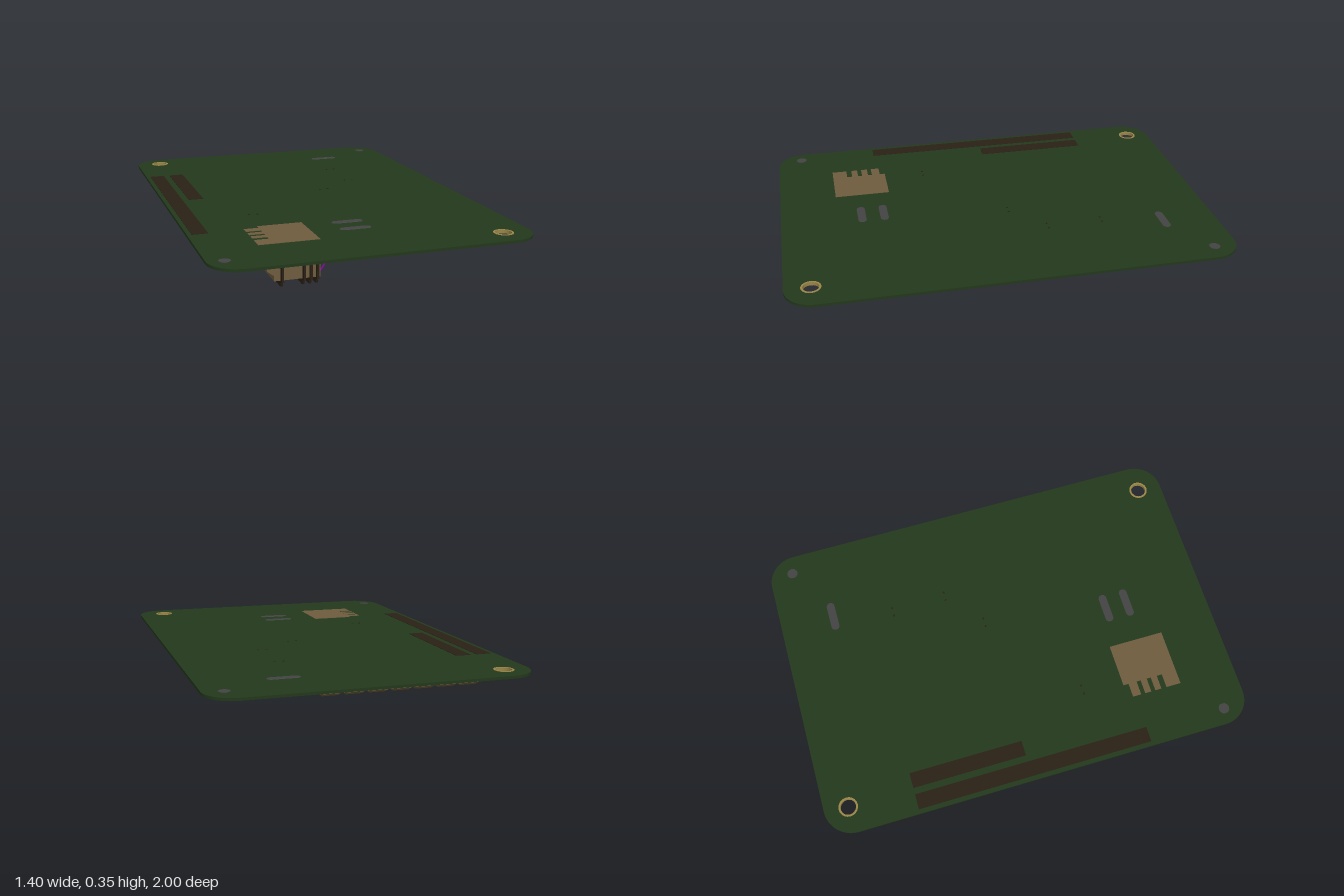
import * as THREE from 'three';

const mat = (color) => new THREE.MeshStandardMaterial({ color, flatShading: true });

export function createModel() {
  const model = new THREE.Group();
  const green = mat(0x22391b), tan = mat(0x6e5c3e), dark = mat(0x2a2115), grey = mat(0x444444);
  const teal = mat(0x2f8f93), gold = mat(0x9a8648), purple = new THREE.MeshStandardMaterial({ color: 0x6a1080 });
  const BOTTOM = 0.334, TOP = 0.346, FLUSH = 0.3475;

  const add = (name, geo, material, parent = model) => {
    const mesh = new THREE.Mesh(geo, material);
    mesh.name = name;
    parent.add(mesh);
    return mesh;
  };
  const group = (name) => {
    const g = new THREE.Group();
    g.name = name;
    model.add(g);
    return g;
  };
  // Box given by its limits on each axis
  const box = (name, [x0, x1], [y0, y1], [z0, z1], material, parent) => {
    const m = add(name, new THREE.BoxGeometry(x1 - x0, y1 - y0, z1 - z0), material, parent);
    m.position.set((x0 + x1) / 2, (y0 + y1) / 2, (z0 + z1) / 2);
    return m;
  };
  // Box whose lower rim is chamfered inwards
  const chamferedBlock = (name, x, z, w, d, y0, y1, c, material, parent) => {
    const geo = new THREE.BoxGeometry(w, y1 - y0, d, 1, 2, 1);
    const p = geo.attributes.position, h = (y1 - y0) / 2;
    for (let i = 0; i < p.count; i++) {
      const y = p.getY(i);
      if (y < -h * 0.5) {
        p.setX(i, p.getX(i) - Math.sign(p.getX(i)) * c);
        p.setZ(i, p.getZ(i) - Math.sign(p.getZ(i)) * c);
      } else if (y < h * 0.5) p.setY(i, -h + c);
    }
    add(name, geo, material, parent).position.set(x, (y0 + y1) / 2, z);
  };

  // Circuit board: rounded rectangle with two mounting holes (shape y = -z)
  const holes = [[-0.58, -0.89], [0.57, 0.885]];
  const W = 0.7, L = 1, R = 0.13;
  const outline = new THREE.Shape();
  outline.absarc(W - R, L - R, R, 0, Math.PI / 2);
  outline.absarc(-W + R, L - R, R, Math.PI / 2, Math.PI);
  outline.absarc(-W + R, -L + R, R, Math.PI, Math.PI * 1.5);
  outline.absarc(W - R, -L + R, R, Math.PI * 1.5, Math.PI * 2);
  for (const [x, z] of holes) outline.holes.push(new THREE.Path().absarc(x, -z, 0.04, 0, Math.PI * 2, true));
  const board = add('circuitBoard', new THREE.ExtrudeGeometry(outline,
    { depth: TOP - BOTTOM, bevelEnabled: false, curveSegments: 6 }).rotateX(-Math.PI / 2), green);
  board.position.y = BOTTOM;

  // Plated linings of the holes
  const lining = [[0.035, -0.008], [0.044, -0.008], [0.044, 0.008], [0.035, 0.008], [0.035, -0.008]]
    .map(([r, y]) => new THREE.Vector2(r, y));
  for (const [x, z] of holes) add('holeLining', new THREE.LatheGeometry(lining, 20), gold).position.set(x, 0.34, z);

  // Locating pegs in the other two corners
  for (const [x, z] of [[0.612, -0.89], [-0.628, 0.885]])
    add('locatingPeg', new THREE.CylinderGeometry(0.025, 0.022, 0.02, 12), grey).position.set(x, 0.338, z);

  // Pin headers with ribbed undersides
  for (const [x0, z1, n] of [[-0.68, 0.51, 36], [-0.58, -0.06, 18]]) {
    const g = group('pinHeader'), z0 = -0.59, x1 = x0 + 0.07, step = (z1 - z0) / n;
    box('headerBody', [x0, x1], [0.312, FLUSH], [z0, z1], dark, g);
    for (let i = 0; i < n; i++) {
      const z = z0 + (i + 0.5) * step;
      chamferedBlock('headerRib', x0 + 0.035, z, 0.068, step * 0.68, 0.296, 0.314, 0.004, dark, g);
    }
  }

  // Connector block: stepped profile, with fingers on its outer side
  const connector = group('connectorBlock');
  box('connectorBody', [-0.39, -0.19], [0.185, FLUSH], [0.475, 0.735], tan, connector);
  const finger = new THREE.Shape([[-0.38, FLUSH], [-0.455, FLUSH], [-0.455, 0.285], [-0.42, 0.28],
    [-0.42, 0.23], [-0.38, 0.2]].map(([x, y]) => new THREE.Vector2(x, y)));
  for (const [z0, z1] of [[0.5, 0.54], [0.56, 0.59], [0.61, 0.64], [0.665, 0.735]]) {
    add('connectorFinger', new THREE.ExtrudeGeometry(finger, { depth: z1 - z0, bevelEnabled: false }), tan, connector)
      .position.z = z0;
  }
  // Thin upright plates that stand out below and at both ends
  const plate = new THREE.Shape([[-0.752, 0.312], [-0.752, 0.18], [-0.735, 0.175], [-0.73, 0.157],
    [-0.49, 0.157], [-0.485, 0.175], [-0.466, 0.18], [-0.466, 0.312]].map(([x, y]) => new THREE.Vector2(x, y)));
  for (const x of [-0.357, -0.263, -0.234, -0.205]) {
    const m = add('connectorPlate', new THREE.ExtrudeGeometry(plate, { depth: 0.01, bevelEnabled: false })
      .rotateY(Math.PI / 2), dark, connector);
    m.position.x = x - 0.005;
  }

  // Two rows of blocks along the back edge
  const bank = group('blockBank');
  for (let row = 0; row < 2; row++) for (let i = 0; i < 7; i++)
    chamferedBlock('bankBlock', -0.43 + i * 0.1012, -0.728 - row * 0.1, 0.09, 0.09, 0.287, 0.338, 0.01, tan, bank);

  // Oblong capacitors set through the board
  const oblong = new THREE.Shape();
  oblong.absarc(0.052, 0, 0.018, -Math.PI / 2, Math.PI / 2);
  oblong.absarc(-0.052, 0, 0.018, Math.PI / 2, Math.PI * 1.5);
  const oblongGeo = new THREE.ExtrudeGeometry(oblong, { depth: 0.034, bevelSize: 0.004,
    bevelThickness: 0.004, bevelSegments: 1, curveSegments: 6 }).rotateX(-Math.PI / 2);
  for (const [x, z] of [[0.005, 0.522], [0.005, 0.626], [0.337, -0.75]])
    add('capacitor', oblongGeo, grey).position.set(x, 0.3095, z);

  // Small dark parts by the rear capacitor
  box('smallChip', [0.23, 0.34], [0.318, 0.338], [-0.845, -0.81], dark);
  box('smallChip', [0.432, 0.468], [0.318, 0.338], [-0.8, -0.65], dark);

  // Flat chips on the underside
  for (const [x, z, w, d] of [[0.473, 0.6, 0.175, 0.125], [0.437, 0.37, 0.13, 0.18], [-0.268, -0.378, 0.175, 0.13]])
    box('flatChip', [x - w / 2, x + w / 2], [0.309, 0.338], [z - d / 2, z + d / 2], teal);

  // Wire clips, each with two pins that show on the upper face
  for (const [x, z] of [[0.277, -0.467], [0.285, -0.208], [0.1, -0.06], [-0.355, 0.285]]) {
    const g = group('wireClip');
    const arch = add('clipArch', new THREE.TorusGeometry(0.02, 0.005, 6, 10, Math.PI), gold, g);
    arch.rotation.z = Math.PI;
    arch.position.set(x, BOTTOM, z);
    for (const s of [-1, 1])
      add('clipPin', new THREE.CylinderGeometry(0.005, 0.005, 0.016, 6), dark, g).position.set(x + s * 0.02, 0.34, z);
  }

  // Wires: one from the block bank, one along the board, two hanging loops
  const wires = {
    bankWire: [[0.18, 0.325, -0.67], [0.23, 0.324, -0.58], [0.277, 0.325, -0.467], [0.295, 0.325, -0.33],
      [0.285, 0.325, -0.208], [0.255, 0.325, -0.1], [0.23, 0.326, -0.02]],
    boardWire: [[0.23, 0.326, -0.02], [0.1, 0.325, -0.05], [-0.08, 0.325, 0.06], [-0.27, 0.325, 0.13],
      [-0.34, 0.325, 0.21], [-0.355, 0.325, 0.29], [-0.34, 0.325, 0.47]],
    shortLoop: [[0.23, 0.328, -0.02], [0.2, 0.24, 0], [0.1, 0.162, 0.05], [-0.07, 0.121, 0.14],
      [-0.18, 0.15, 0.2], [-0.22, 0.195, 0.29], [-0.23, 0.24, 0.37], [-0.23, 0.325, 0.475]],
    longLoop: [[0.23, 0.328, -0.02], [0.215, 0.25, -0.01], [0.15, 0.145, 0.05], [0.06, 0.055, 0.13], [-0.03, 0.008, 0.22],
      [-0.13, 0.05, 0.3], [-0.185, 0.13, 0.335], [-0.2, 0.21, 0.35], [-0.2, 0.265, 0.4], [-0.2, 0.325, 0.475]],
  };
  for (const [name, pts] of Object.entries(wires)) {
    const curve = new THREE.CatmullRomCurve3(pts.map((p) => new THREE.Vector3(...p)));
    add(name, new THREE.TubeGeometry(curve, 48, 0.0055, 8), purple);
  }
  return model;
}
